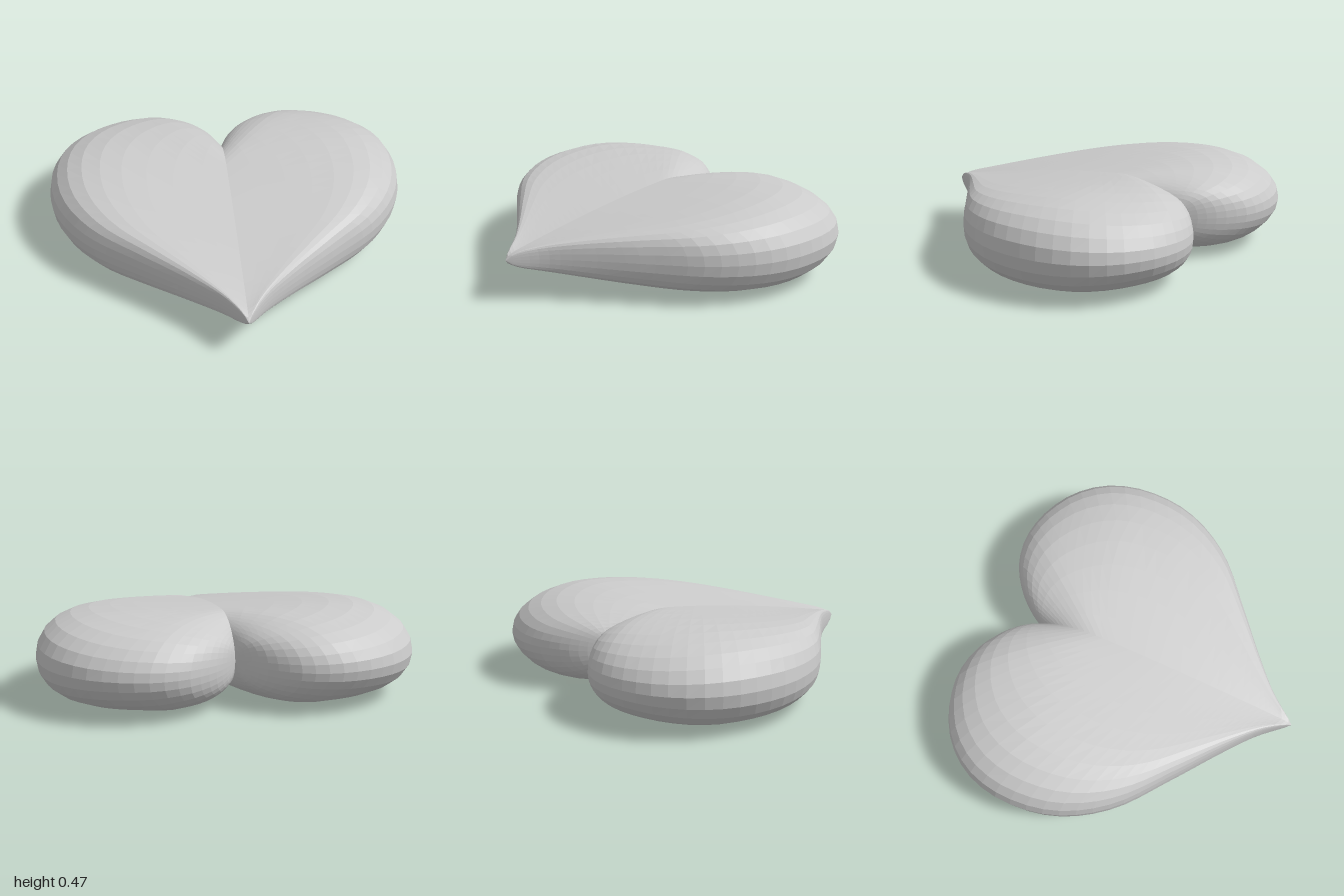
import * as THREE from 'three';

const HALF_HEIGHT = 0.2375;
const NOTCH_Z = -0.59;
const TIP_Z = 0.9;

// Outline of one lobe from notch to tip, as [x, z]
const outline = new THREE.CatmullRomCurve3([
  [0, NOTCH_Z], [0.06, -0.69], [0.13, -0.77], [0.2, -0.825], [0.3, -0.88], [0.45, -0.907],
  [0.6, -0.885], [0.7, -0.845], [0.8, -0.783], [0.89, -0.69], [0.95, -0.59], [0.985, -0.48],
  [1, -0.36], [0.985, -0.17], [0.92, 0.01], [0.785, 0.2], [0.545, 0.4], [0.29, 0.6],
  [0.12, 0.75], [0, TIP_Z],
].map(([x, z]) => new THREE.Vector3(x, 0, z)));

// Half thickness along z: fullest at the lobes, tapering to a thin blunt tip
function thickness(z) {
  const s = (z + 0.38) / 1.28;
  if (s < 0) return HALF_HEIGHT - 0.25 * (z + 0.38) ** 2;
  return HALF_HEIGHT * (1 - 0.88 * Math.min(s, 1) ** 1.5);
}

// Puffy cross-section with a shallow valley in the middle and a round rim;
// the valley fades out at the notch, the rim tightens toward the tip
function section(u, t) {
  const valley = 0.37 * Math.min(1, t / 0.2);
  const power = 5 + 8 * Math.max(0, t - 0.45);
  return (1 + valley * u) * Math.sqrt(Math.max(0, 1 - u ** power)) / 1.18;
}

// Rounds the surface down at an end of the body, over the given length
const endRamp = (t, length) => Math.sqrt(1 - Math.max(0, 1 - t / length) ** 2);

// A sphere whose poles become the notch and the tip; each ring is a V-shaped slice
// running from the middle line out to the outline on both sides
function heartGeometry() {
  const geometry = new THREE.SphereGeometry(1, 40, 44);
  const pos = geometry.attributes.position;
  for (let i = 0; i < pos.count; i++) {
    const x = pos.getX(i);
    const up = pos.getZ(i);
    const cosV = THREE.MathUtils.clamp(pos.getY(i), -1, 1);
    const t = 0.5 * (Math.acos(cosV) / Math.PI + (1 - cosV) / 2);
    const w = Math.hypot(x, up);
    const u = w > 1e-5 ? Math.min(1, Math.abs(x) / w) : 0;
    const side = Math.abs(up) < 1e-6 ? 0 : Math.sign(up);
    const rim = outline.getPointAt(t);
    const z = THREE.MathUtils.lerp(THREE.MathUtils.lerp(NOTCH_Z, TIP_Z, t), rim.z, u);
    const y = side * thickness(z) * section(u, t) * endRamp(t, 0.25) * endRamp(1 - t, 0.04);
    pos.setXYZ(i, Math.sign(x) * u * rim.x, HALF_HEIGHT + y, z);
  }
  geometry.computeVertexNormals();
  return geometry;
}

export function createModel() {
  const group = new THREE.Group();
  group.name = 'heart';
  const material = new THREE.MeshStandardMaterial({ color: 0xcccccc, flatShading: true });
  const body = new THREE.Mesh(heartGeometry(), material);
  body.name = 'heartBody';
  group.add(body);
  return group;
}
